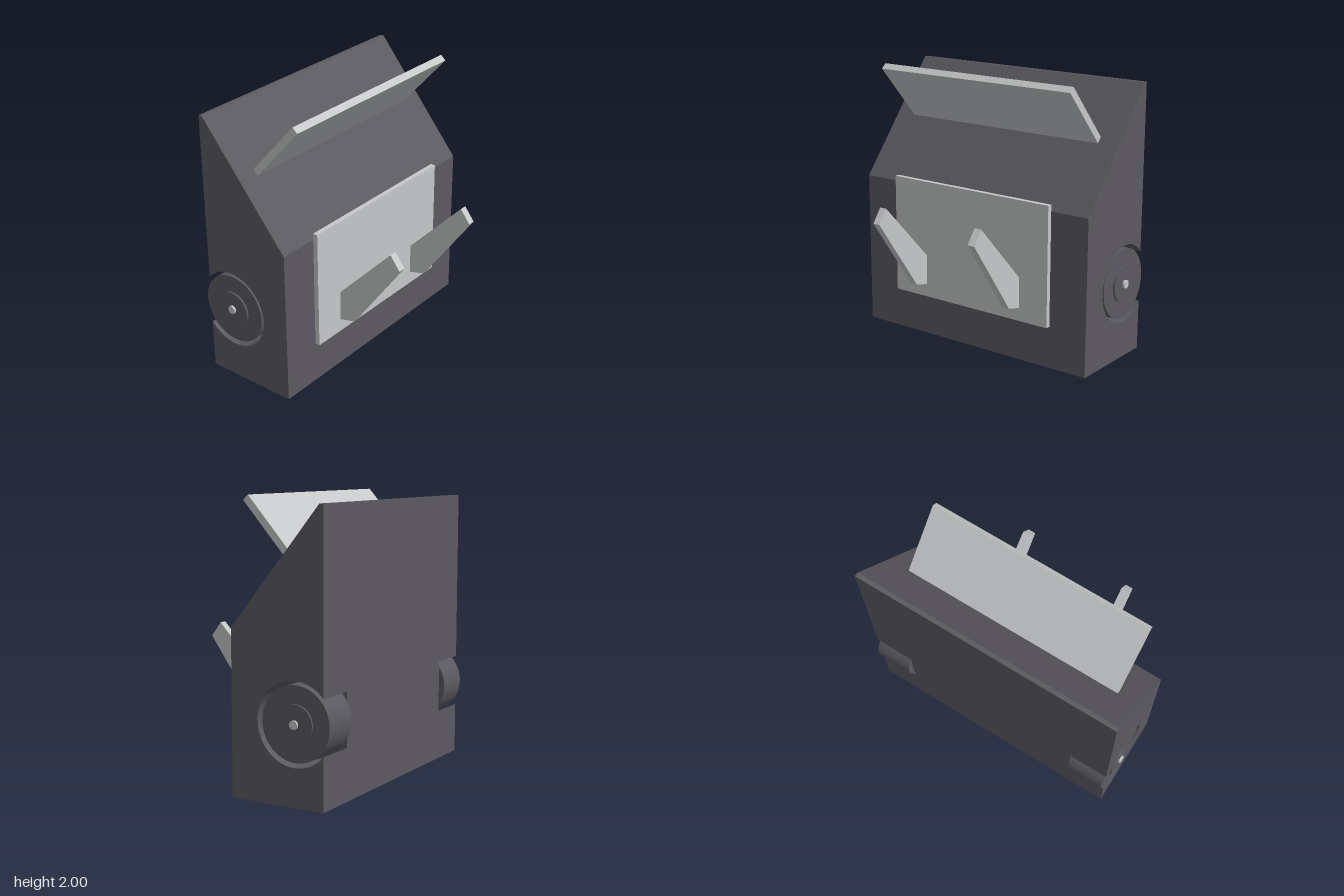
import * as THREE from 'three';

const dark = new THREE.MeshStandardMaterial({ color: 0x5c5a61 });
dark.name = 'dark grey';
const light = new THREE.MeshStandardMaterial({ color: 0xc6c8c9 });
light.name = 'light grey';

const WHEEL = { y: 0.55, z: -0.39, r: 0.255, wellR: 0.285 };
const HALF = 0.98, WELL_X = 0.685, BACK = -0.605;

// Extrude a side profile given as (z, y) across x0..x1
function sidePart(name, shape, x0, x1, material) {
  const geo = new THREE.ExtrudeGeometry(shape, { depth: x1 - x0, bevelEnabled: false, curveSegments: 48 });
  geo.rotateY(Math.PI / 2);
  geo.translate(x0, 0, 0);
  const mesh = new THREE.Mesh(geo, material);
  mesh.name = name;
  return mesh;
}

const profile = (pts) => new THREE.Shape(pts.map(([z, y]) => new THREE.Vector2(-z, y)));

// Body outline with a round wheel well open at the back
function notchedProfile() {
  const cx = -WHEEL.z, dx = -BACK - cx;
  const a = Math.acos(dx / WHEEL.wellR);
  const s = new THREE.Shape();
  s.moveTo(-0.1, 0);
  s.lineTo(-BACK, 0);
  s.lineTo(-BACK, WHEEL.y - WHEEL.wellR * Math.sin(a));
  s.absarc(cx, WHEEL.y, WHEEL.wellR, -a, a, true);
  s.lineTo(-BACK, 1.96);
  s.lineTo(0.575, 1.96);
  s.lineTo(-0.1, 1.14);
  s.closePath();
  return s;
}

// Cylinder lying along x between x0 and x1
function disc(name, r, x0, x1, material, segments = 48) {
  const geo = new THREE.CylinderGeometry(r, r, x1 - x0, segments);
  geo.rotateZ(Math.PI / 2);
  const mesh = new THREE.Mesh(geo, material);
  mesh.position.set((x0 + x1) / 2, WHEEL.y, WHEEL.z);
  mesh.name = name;
  return mesh;
}

export function createModel() {
  const model = new THREE.Group();
  model.name = 'wheeledBin';

  // Wedge-topped body: full core plus two notched sides
  const core = profile([[0.1, 0], [BACK, 0], [BACK, 1.96], [-0.575, 1.96], [0.1, 1.14]]);
  model.add(sidePart('bodyCore', core, -WELL_X, WELL_X, dark));
  model.add(sidePart('bodyLeft', notchedProfile(), WELL_X, HALF, dark));
  model.add(sidePart('bodyRight', notchedProfile(), -HALF, -WELL_X, dark));

  // Slanted flap standing on the sloping face
  const flap = profile([[0.068, 2.0], [0.106, 1.965], [-0.275, 1.54], [-0.313, 1.575]]);
  model.add(sidePart('flap', flap, -0.82, 0.82, light));

  // Front plate
  const plate = new THREE.Mesh(new THREE.BoxGeometry(1.364, 0.88, 0.036), light);
  plate.position.set(0, 0.747, 0.118);
  plate.name = 'frontPlate';
  model.add(plate);

  // Mirrored hooks and wheels
  const hook = profile([[0.13, 0.402], [0.13, 0.622], [0.57, 1.08], [0.646, 0.98], [0.253, 0.432]]);
  for (const side of [1, -1]) {
    const label = side > 0 ? 'left' : 'right';
    const x = side * 0.418;
    model.add(sidePart(label + 'Hook', hook, x - 0.028, x + 0.028, light));

    const wheel = new THREE.Group();
    wheel.name = label + 'Wheel';
    const span = (a, b) => (side > 0 ? [a, b] : [-b, -a]);
    wheel.add(disc('tyre', WHEEL.r, ...span(0.695, 0.97), dark, 64));
    wheel.add(disc('hub', 0.132, ...span(0.96, 0.984), dark));
    wheel.add(disc('axle', 0.03, ...span(0.67, 1.0), light, 16));
    model.add(wheel);
  }
  return model;
}
